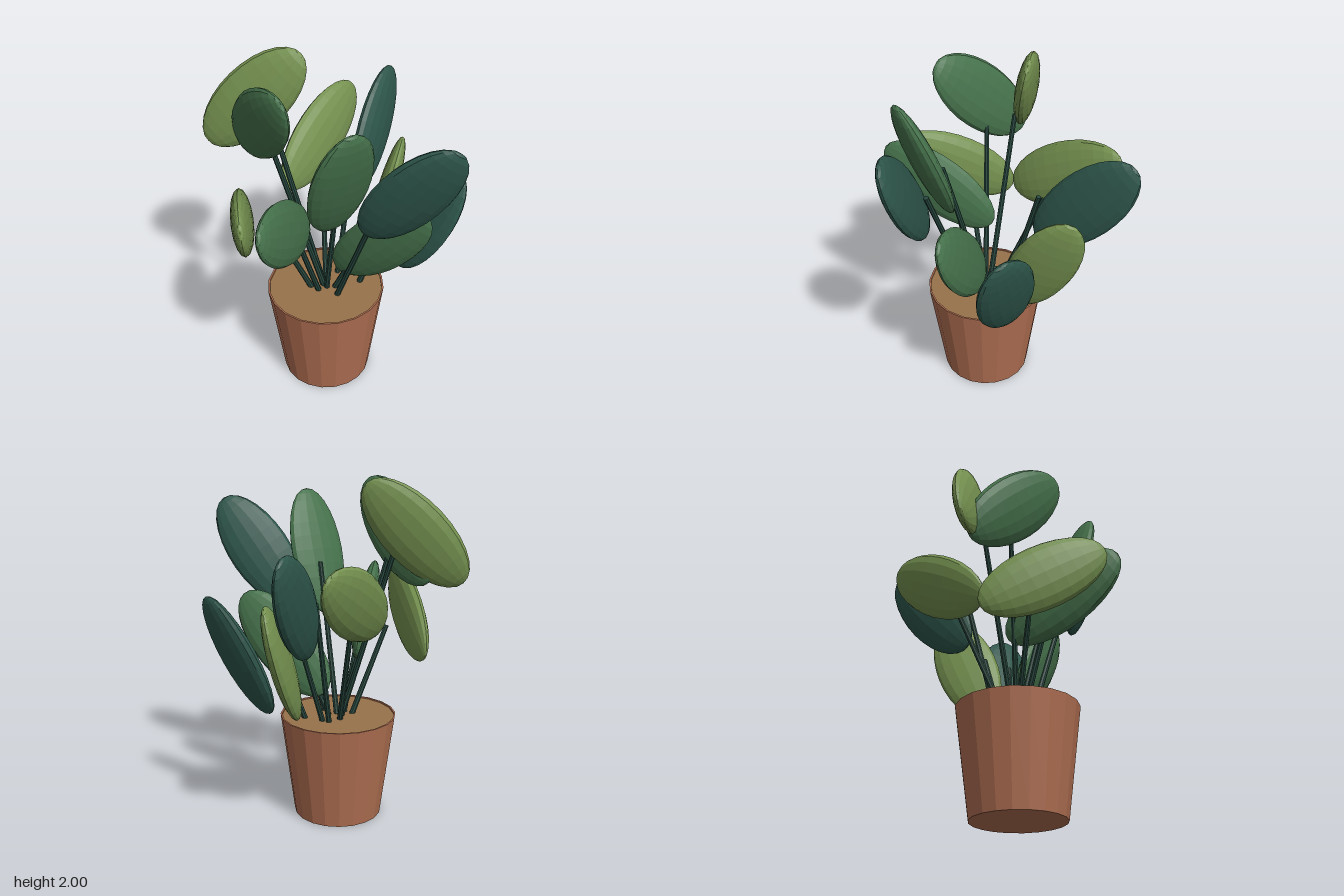
import * as THREE from 'three';

const material = (name, color) => {
  const m = new THREE.MeshStandardMaterial({ color, flatShading: true });
  m.name = name;
  return m;
};

// Each shoot: leaf colour, leaf centre, x and z of the leaf's upward long axis,
// x and z of its face normal, x and z of the stem base, stem tip
const SHOOTS = [
  ['light', [-0.49, 1.70, 0.03], [0.66, -0.24], [0.16, 0.97], [-0.06, 0.09], [-0.37, 1.60, 0.055]],
  ['mid', [-0.34, 1.69, 0.24], [0.58, 0.45], [-0.45, 0.88], [-0.05, 0.11], [-0.31, 1.57, 0.20]],
  ['light', [-0.38, 1.18, 0.42], [0.43, 0.76], [0.85, -0.52], [-0.11, 0.15], [-0.28, 1.12, 0.30]],
  ['mid', [-0.125, 1.185, 0.425], [0.06, 0.84], [0.97, -0.146], [-0.06, 0.16], [-0.11, 1.10, 0.33]],
  ['mid', [0.165, 1.53, 0.365], [0.25, 0.23], [0.76, 0.56], [-0.03, 0.12], [0.12, 1.48, 0.28]],
  ['dark', [0.51, 1.525, 0.305], [0.59, 0], [0.3, 0.93], [0.05, 0.155], [0.36, 1.45, 0.265]],
  ['mid', [0.29, 1.015, 0.105], [0.67, 0.05], [0.1, 0.98], [0.01, 0.1], [0.17, 0.95, 0.10]],
  ['dark', [0.45, 1.01, -0.21], [0.44, -0.1], [-0.5, 0.8], [0.125, 0], [0.25, 1.0, -0.075]],
  ['light', [0.155, 1.01, -0.31], [0.1, -0.42], [0.94, -0.2], [0.015, -0.015], [0.08, 1.0, -0.15]],
  ['dark', [0.01, 1.36, -0.48], [0, -0.66], [0.98, 0.11], [-0.025, -0.025], [-0.01, 1.34, -0.22]],
  ['light', [-0.25, 1.36, -0.29], [0.17, -0.86], [0.93, 0.33], [-0.07, 0.04], [-0.195, 1.20, -0.19]],
];

export function createModel() {
  const group = new THREE.Group();
  group.name = 'pottedPlant';
  const terracotta = material('terracotta', 0xb06f52);
  const soilBrown = material('soilBrown', 0x96724a);
  const stemGreen = material('stemGreen', 0x28483f);
  const leafGreens = {
    light: material('lightLeafGreen', 0x759150),
    mid: material('midLeafGreen', 0x46724c),
    dark: material('darkLeafGreen', 0x2e564b),
  };
  const add = (geometry, mat, name) => {
    const mesh = new THREE.Mesh(geometry, mat);
    mesh.name = name;
    group.add(mesh);
    return mesh;
  };

  // Tapered pot with a shallow lip around the soil
  const profile = [[0, 0], [0.26, 0], [0.34, 0.612], [0.33, 0.612], [0.327, 0.59]];
  const pot = add(
    new THREE.LatheGeometry(profile.map(([r, y]) => new THREE.Vector2(r, y)), 20),
    terracotta, 'pot');
  pot.position.set(-0.04, 0, 0.11);
  const soil = add(new THREE.CylinderGeometry(0.329, 0.325, 0.03, 20), soilBrown, 'soil');
  soil.position.set(-0.04, 0.59, 0.11);

  // Flattened ellipsoid leaves on thin straight stems
  const leafGeometry = new THREE.SphereGeometry(1, 16, 14).scale(0.18, 0.38, 0.06);
  const up = new THREE.Vector3(0, 1, 0);
  SHOOTS.forEach(([shade, centre, [ax, az], [nx, nz], [bx, bz], tip], i) => {
    // The axis is a unit vector and the normal is square to it, which gives both heights
    const ay = Math.sqrt(1 - ax * ax - az * az);
    const y = new THREE.Vector3(ax, ay, az);
    const z = new THREE.Vector3(nx, -(ax * nx + az * nz) / ay, nz).normalize();
    const x = new THREE.Vector3().crossVectors(y, z);
    const leaf = add(leafGeometry, leafGreens[shade], `leaf${i + 1}`);
    leaf.quaternion.setFromRotationMatrix(new THREE.Matrix4().makeBasis(x, y, z));
    leaf.position.set(...centre);

    const from = new THREE.Vector3(bx, 0.59, bz);
    const to = new THREE.Vector3(...tip);
    const run = to.clone().sub(from);
    const stem = add(new THREE.CylinderGeometry(0.014, 0.017, run.length(), 8), stemGreen, `stem${i + 1}`);
    stem.position.copy(from).add(to).multiplyScalar(0.5);
    stem.quaternion.setFromUnitVectors(up, run.normalize());
  });
  return group;
}
